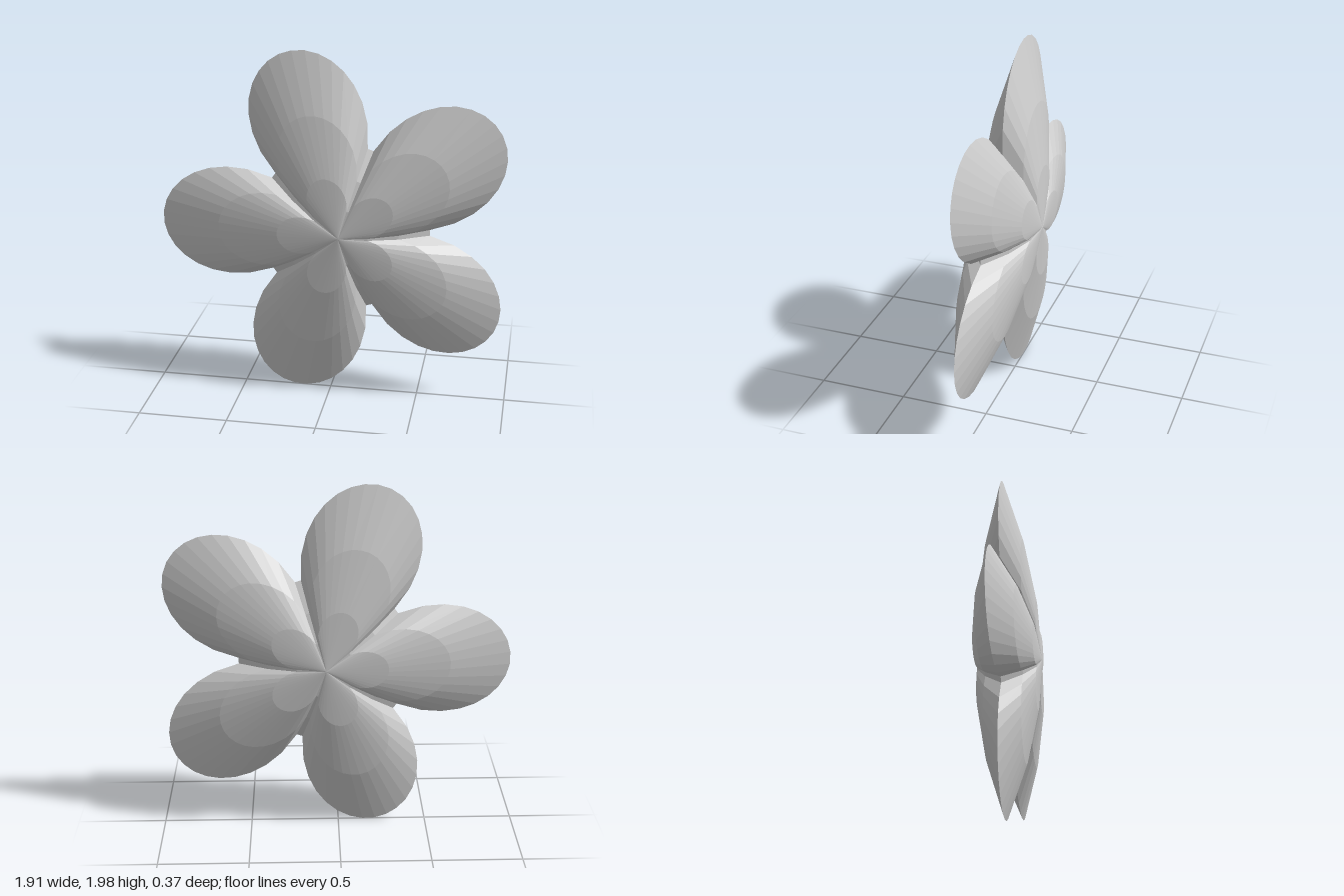
import * as THREE from 'three';

const PETALS = 5;
const STEPS = 18;            // facets across one petal
const RINGS = 3;             // facets from centre to rim
const DEPTH = 0.183;         // half thickness at the centre
const PETAL_ANGLE = (Math.PI * 2) / PETALS;

// Outline radius at an angle measured from the petal's axis
function rimRadius(a) {
  return 0.36 + 0.67 * Math.pow(Math.abs(Math.cos((a * PETALS) / 2)), 0.7);
}

// One petal along +x: scaled copies of the rim, domed on both faces
function petalGeometry() {
  const positions = [];
  const step = PETAL_ANGLE / STEPS;
  const point = (ring, i, side) => {
    const a = (i - STEPS / 2 + 0.5) * step;
    const f = ring / RINGS;
    const r = rimRadius(a) * f;
    return [r * Math.cos(a), r * Math.sin(a), side * DEPTH * (1 - f * f)];
  };
  const triangle = (side, a, b, c) =>
    positions.push(...a, ...(side > 0 ? b : c), ...(side > 0 ? c : b));

  for (const side of [1, -1]) {
    for (let i = 0; i < STEPS; i++) {
      for (let ring = 0; ring < RINGS; ring++) {
        const a = point(ring, i, side);
        const b = point(ring + 1, i, side);
        const c = point(ring + 1, i + 1, side);
        const d = point(ring, i + 1, side);
        triangle(side, a, b, c);
        if (ring > 0) triangle(side, a, c, d);
      }
    }
  }
  const geometry = new THREE.BufferGeometry();
  geometry.setAttribute('position', new THREE.Float32BufferAttribute(positions, 3));
  geometry.computeVertexNormals();
  return geometry;
}

export function createModel() {
  const group = new THREE.Group();
  group.name = 'flower';
  const grey = new THREE.MeshStandardMaterial({ color: 0xcccccc, flatShading: true });
  grey.name = 'light grey';

  // Five equal petals meeting at the centre, one pointing to -x
  const geometry = petalGeometry();
  for (let i = 0; i < PETALS; i++) {
    const petal = new THREE.Mesh(geometry, grey);
    petal.name = 'petal' + (i + 1);
    petal.position.set(0.07, 1.0, 0);
    petal.rotation.z = Math.PI + i * PETAL_ANGLE;
    group.add(petal);
  }
  return group;
}
